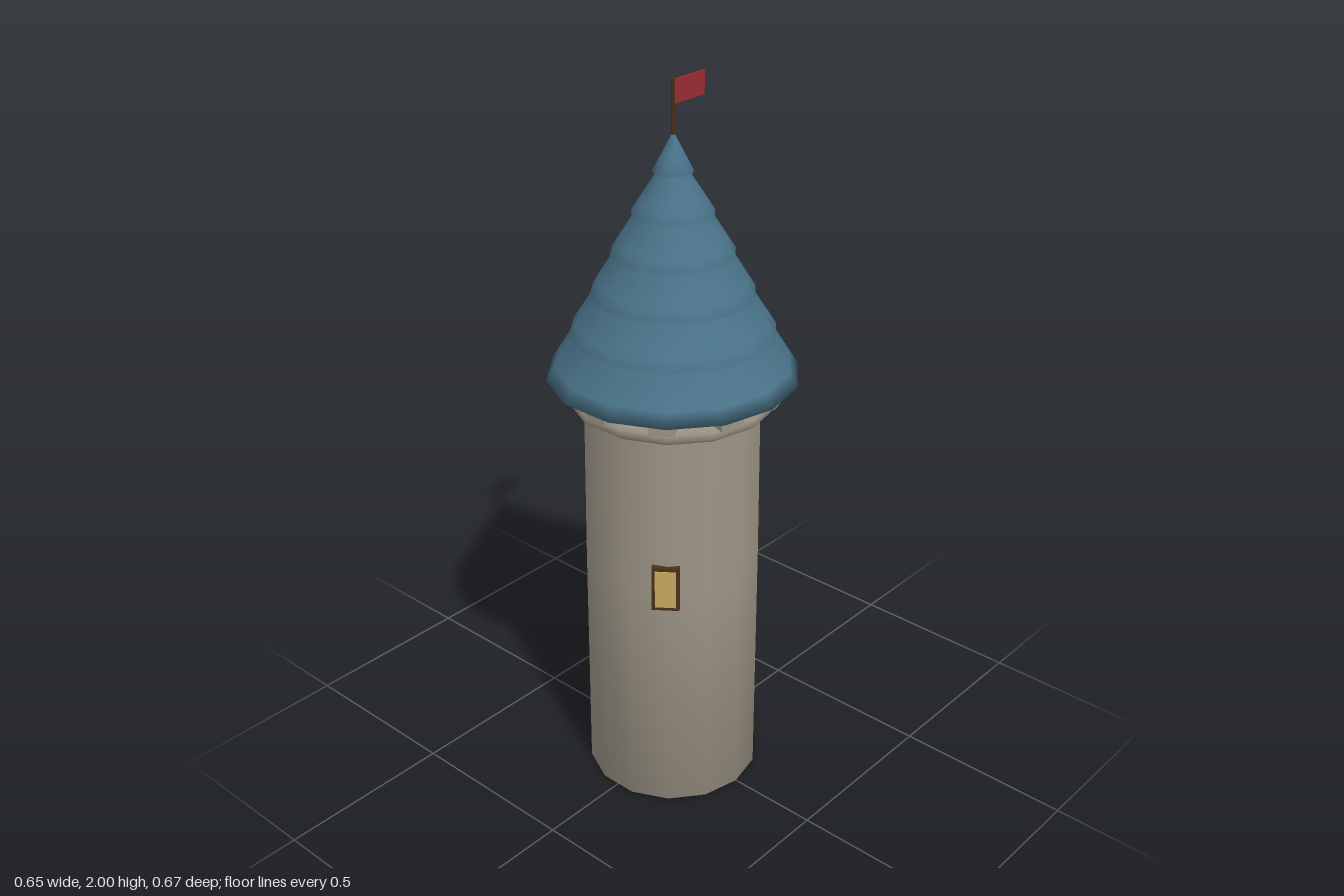
import * as THREE from 'three';

const SIDES = 14;
const mat = (name, color) => {
  const m = new THREE.MeshStandardMaterial({ color });
  m.name = name;
  return m;
};

export function createModel() {
  const model = new THREE.Group();
  model.name = 'tower';
  const stone = mat('stone', 0x9c9485);
  const slate = mat('blueSlate', 0x4a7389);
  const wood = mat('darkWood', 0x4a3018);
  const glow = mat('windowGlow', 0xc8a862);
  const cloth = mat('redCloth', 0x9a2c32);

  const add = (name, geometry, material, parent = model) => {
    const mesh = new THREE.Mesh(geometry, material);
    mesh.name = name;
    parent.add(mesh);
    return mesh;
  };
  const lathe = (points) =>
    new THREE.LatheGeometry(points.map(([r, y]) => new THREE.Vector2(r, y)), SIDES);

  // Slightly tapering wall, soft at the base
  add('wall', lathe([[0, 0], [0.242, 0], [0.24, 0.7], [0.236, 1.16]]), stone);

  // Rounded ledge with a closed top
  add('ledge', lathe([
    [0.225, 1.146], [0.262, 1.146], [0.277, 1.158],
    [0.277, 1.178], [0.266, 1.19], [0, 1.19],
  ]), stone);

  // Ring of battlement blocks under the eaves
  const blocks = new THREE.Group();
  blocks.name = 'battlements';
  model.add(blocks);
  for (let i = 0; i < 10; i++) {
    const a = (i * Math.PI) / 5;
    const block = add('battlementBlock', new THREE.BoxGeometry(0.06, 0.05, 0.066), stone, blocks);
    block.position.set(0.266 * Math.cos(a), 1.212, 0.266 * Math.sin(a));
    block.rotation.y = -a;
  }

  // Conical roof of six overlapping courses
  const lips = [[0.333, 1.225], [0.271, 1.345], [0.215, 1.452], [0.161, 1.56], [0.107, 1.665], [0.052, 1.77]];
  const profile = [[0, 1.225]];
  lips.forEach(([r, y], i) => {
    const [nr, ny] = lips[i + 1] ?? [0.012, 1.872];
    const top = nr - 0.012;
    profile.push([r, y], [r + (top - r) * 0.3, y + (ny - y) * 0.3], [top, ny]);
  });
  add('roof', lathe(profile), slate);

  // Three windows spaced evenly around the wall
  for (let i = 0; i < 3; i++) {
    const a = 0.4 + (i * Math.PI * 2) / 3;
    const win = new THREE.Group();
    win.name = 'window';
    win.position.set(0.235 * Math.cos(a), 0.708, 0.235 * Math.sin(a));
    win.rotation.y = -a;
    model.add(win);
    add('windowFrame', new THREE.BoxGeometry(0.028, 0.13, 0.074), wood, win);
    add('windowPane', new THREE.BoxGeometry(0.006, 0.11, 0.056), glow, win).position.x = 0.0135;
  }

  // Flag on a thin pole
  add('flagPole', new THREE.CylinderGeometry(0.005, 0.005, 0.16, 6), wood).position.y = 1.92;
  add('flag', new THREE.BoxGeometry(0.112, 0.06, 0.006), cloth).position.set(0.057, 1.968, 0);

  return model;
}
